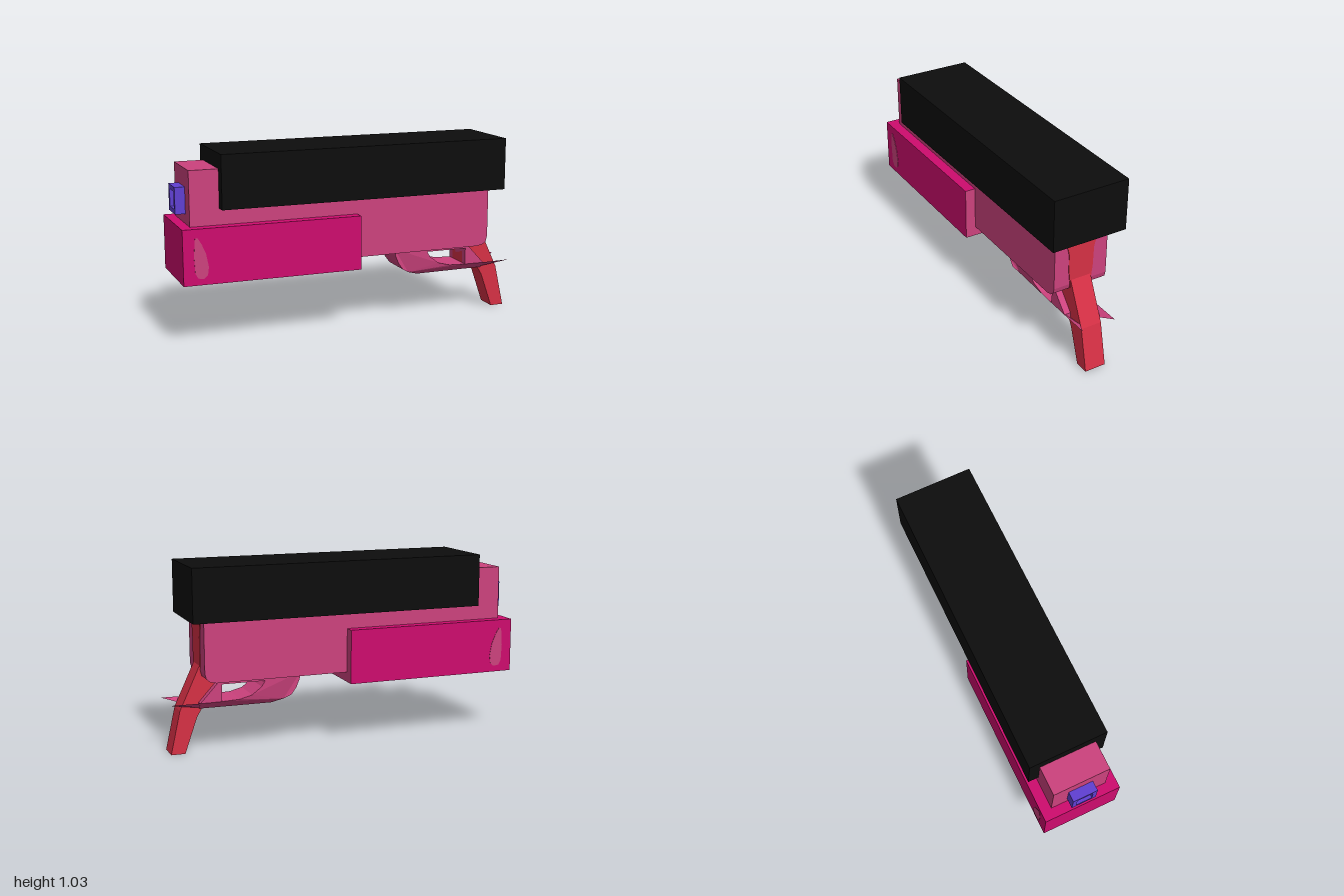
import * as THREE from 'three';

const mat = (name, color, side = THREE.FrontSide) => {
  const m = new THREE.MeshStandardMaterial({ color, side });
  m.name = name;
  return m;
};

const polygon = (points) => new THREE.Shape(points.map(([x, y]) => new THREE.Vector2(x, y)));

// Side profile extruded symmetrically about z = 0
function slab(shape, width) {
  const g = new THREE.ExtrudeGeometry(shape, { depth: width, bevelEnabled: false, curveSegments: 6 });
  return g.translate(0, 0, -width / 2);
}

// Box given by its limits on each axis
function block(x0, x1, y0, y1, halfWidth) {
  return new THREE.BoxGeometry(x1 - x0, y1 - y0, halfWidth * 2)
    .translate((x0 + x1) / 2, (y0 + y1) / 2, 0);
}

export function createModel() {
  const model = new THREE.Group();
  const pink = mat('pink', 0xcc427d, THREE.DoubleSide);
  const magenta = mat('magenta', 0xce0c6e);
  const red = mat('red', 0xd63045);
  const blue = mat('blue', 0x6040d2);
  const black = mat('black', 0x0d0d0d);

  const add = (name, geometry, material) => {
    const mesh = new THREE.Mesh(geometry, material);
    mesh.name = name;
    model.add(mesh);
    return mesh;
  };

  // Main body with a rounded lower rear edge
  const body = polygon([
    [-0.945, 0.4], [0.745, 0.4], [0.78, 0.408], [0.8, 0.425], [0.808, 0.455],
    [0.808, 0.74], [0.78, 0.945], [-0.945, 0.945],
  ]);
  add('body', slab(body, 0.32), pink);

  // Long top block
  add('topBlock', block(-0.785, 0.88, 0.735, 1.028, 0.219), black);

  // Fore-end: rear and underside share the body colour
  add('foreEnd', block(-1, -0.003, 0.344, 0.646, 0.219),
    [pink, magenta, magenta, pink, magenta, magenta]);

  // Teardrop patch on each side of the fore-end
  const drop = polygon([
    [-0.935, 0.595], [-0.942, 0.5], [-0.937, 0.41], [-0.922, 0.382], [-0.89, 0.378],
    [-0.87, 0.395], [-0.864, 0.44], [-0.877, 0.51], [-0.9, 0.565], [-0.922, 0.6],
  ]);
  for (const side of [-1, 1]) {
    const patch = add('sidePatch', slab(drop, 0.004), pink);
    patch.position.z = side * 0.219;
  }

  // Hollow square muzzle
  const ring = polygon([[-0.07, 0.7], [0.07, 0.7], [0.07, 0.845], [-0.07, 0.845]]);
  ring.holes.push(polygon([[-0.045, 0.725], [-0.045, 0.82], [0.045, 0.82], [0.045, 0.725]]));
  const muzzle = slab(ring, 0.06).rotateY(Math.PI / 2).translate(-0.97, 0, 0);
  add('muzzle', muzzle, blue);

  // Tapering panel on the back of the body
  const panel = polygon([
    [-0.062, 0.43], [0.062, 0.43], [0.073, 0.53], [0.076, 0.64], [0.1, 0.74],
    [-0.1, 0.74], [-0.076, 0.64], [-0.073, 0.53],
  ]);
  add('rearPanel', slab(panel, 0.016).rotateY(Math.PI / 2).translate(0.804, 0, 0), red);

  // Bent grip
  const grip = polygon([
    [0.7, 0.45], [0.7, 0.275], [0.79, 0.265], [0.83, 0.2], [0.9, 0],
    [0.978, 0], [0.924, 0.24], [0.835, 0.43], [0.812, 0.48],
  ]);
  add('grip', slab(grip, 0.122), red);

  // Trigger guard: the lower edge narrows inward
  const guard = polygon([
    [0.25, 0.41], [0.256, 0.37], [0.275, 0.325], [0.305, 0.285], [0.345, 0.262],
    [0.41, 0.242], [0.82, 0.245], [0.82, 0.28], [0.82, 0.41],
  ]);
  guard.holes.push(polygon([
    [0.455, 0.377], [0.7, 0.377], [0.7, 0.282], [0.6, 0.286], [0.53, 0.304], [0.475, 0.345],
  ]));
  const guardGeometry = slab(guard, 0.2);
  const p = guardGeometry.attributes.position;
  for (let i = 0; i < p.count; i++) {
    const x = p.getX(i), y = p.getY(i);
    // Upper rear stays within the grip; the lower edge tapers
    if (y < 0.282 && x > 0.3) {
      const t = Math.min(1, (0.282 - y) / 0.04);
      p.setZ(i, Math.sign(p.getZ(i)) * (0.1 - 0.04 * t));
    } else if (x > 0.81 && y > 0.4) {
      p.setX(i, 0.7);
    }
  }
  guardGeometry.computeVertexNormals();
  add('triggerGuard', guardGeometry, pink);

  // Pointed prongs beside the grip
  for (const s of [-1, 1]) {
    const a = [0.78, 0.245, s * 0.06], b = [0.78, 0.281, s * 0.1];
    const c = [0.99, 0.284, s * 0.1], d = [0.91, 0.262, s * 0.06];
    const g = new THREE.BufferGeometry();
    g.setAttribute('position', new THREE.Float32BufferAttribute(
      (s > 0 ? [a, c, b, a, d, c, b, c, d] : [a, b, c, a, c, d, b, d, c]).flat(), 3));
    g.computeVertexNormals();
    add('guardProng', g, pink);
  }

  return model;
}
